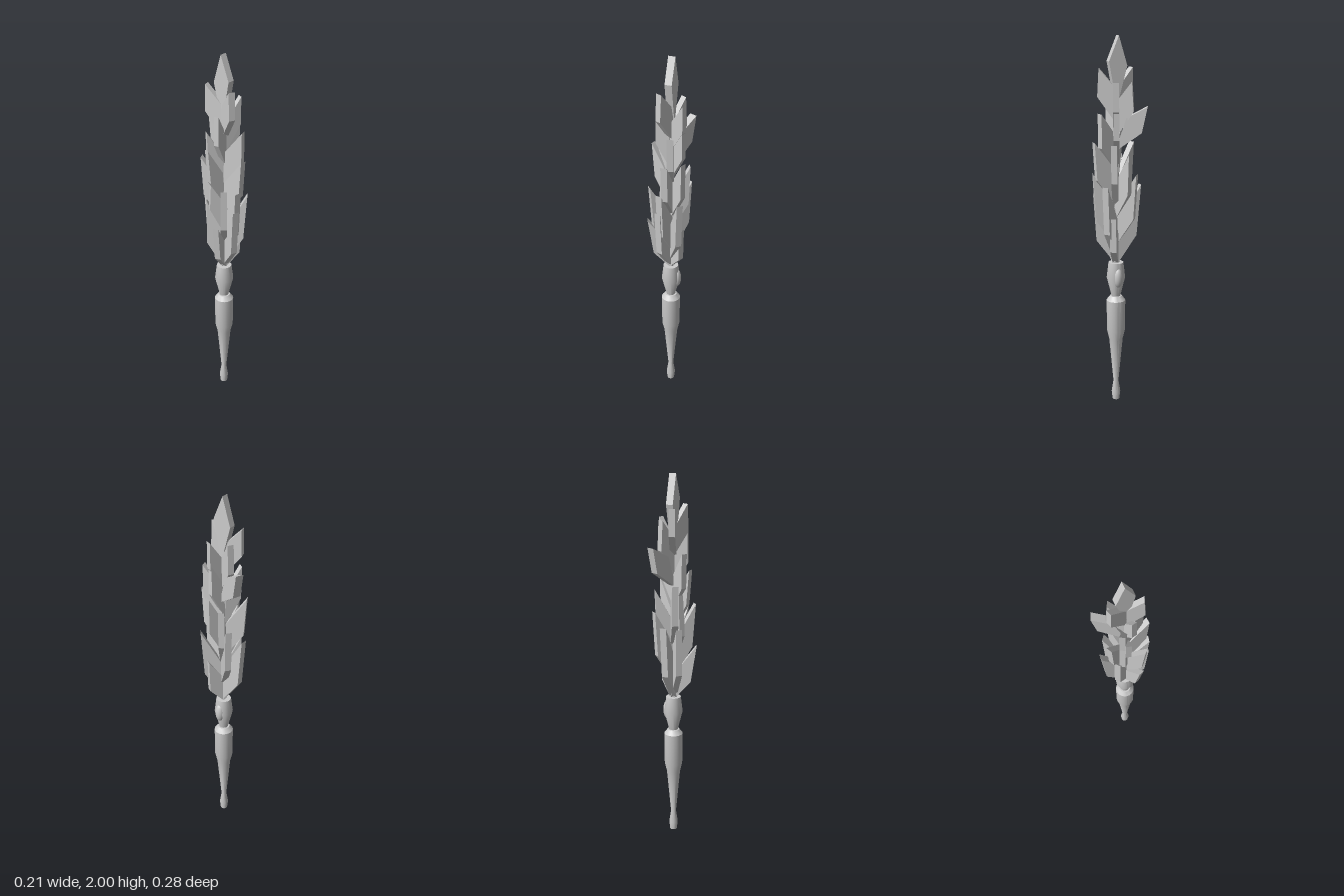
import * as THREE from 'three';
import { toCreasedNormals } from 'three/addons/utils/BufferGeometryUtils.js';

const grey = new THREE.MeshStandardMaterial({ color: 0xcccccc });
const flatGrey = new THREE.MeshStandardMaterial({ color: 0xcccccc, flatShading: true });
const lerp = THREE.MathUtils.lerp;

// Turned part from [radius, height] points
function turned(name, points) {
  const profile = points.map(([r, y]) => new THREE.Vector2(r, y));
  const mesh = new THREE.Mesh(toCreasedNormals(new THREE.LatheGeometry(profile, 18), 0.6), grey);
  mesh.name = name;
  return mesh;
}

// Flat kite-shaped blade in a radial plane, leaning from the axis out to its tip
function blade(name, [x, y, z], height, halfWidth, thickness, waist) {
  const reach = Math.hypot(x, z);
  const out = new THREE.Vector3(x / reach, 0, z / reach);
  const up = new THREE.Vector3(0, 1, 0);
  const length = Math.hypot(reach, height);
  const dx = reach / length, dy = height / length;
  const at = (s, side) => new THREE.Vector2(dx * s * length + dy * side, dy * s * length - dx * side);
  const shape = new THREE.Shape([at(0, 0), at(waist, halfWidth), at(1, 0), at(waist + 0.06, -halfWidth)]);
  const geometry = new THREE.ExtrudeGeometry(shape, { depth: thickness, bevelEnabled: false });
  geometry.translate(0, 0, -thickness / 2);
  geometry.applyMatrix4(new THREE.Matrix4().makeBasis(out, up, out.clone().cross(up)));
  const mesh = new THREE.Mesh(geometry, flatGrey);
  mesh.name = name;
  mesh.position.y = y - height;
  return mesh;
}

// Blade tips from the axis, bottom to top
const bladeTips = [
  [0.075, 1.06, 0.045], [-0.115, 1.09, 0.045], [-0.035, 1.18, 0.115],
  [0.005, 1.22, -0.135], [-0.06, 1.2, -0.07], [0.08, 1.235, 0.09],
  [-0.025, 1.29, 0.12], [0.075, 1.29, -0.09], [-0.09, 1.31, 0.08],
  [-0.06, 1.38, -0.04], [0.085, 1.4, -0.05], [-0.055, 1.44, -0.11],
  [0.08, 1.45, 0.04], [0.005, 1.46, 0.125], [-0.105, 1.515, -0.025],
  [-0.08, 1.6, -0.05], [0.03, 1.61, 0.1], [0.075, 1.64, 0.025],
  [-0.075, 1.7, 0.015], [0.04, 1.77, -0.075], [0.08, 1.77, 0.03],
  [-0.035, 1.835, 0.08], [-0.03, 1.835, -0.095],
];

// Leaning blades, growing shorter and narrower towards the crown
function leaningBlades() {
  const group = new THREE.Group();
  group.name = 'leaningBlades';
  bladeTips.forEach((tip, i) => {
    const t = i / (bladeTips.length - 1);
    const depth = Math.abs(tip[2]) / Math.hypot(tip[0], tip[2]);
    const height = Math.min(tip[1] - 0.79, lerp(0.46, 0.27, t));
    const halfWidth = lerp(0.042, 0.034, t) + 0.018 * depth;
    const thickness = lerp(0.03, 0.027, t) + 0.006 * depth;
    group.add(blade(`leaningBlade${i + 1}`, tip, height, halfWidth, thickness, lerp(0.38, 0.54, t)));
  });
  return group;
}

export function createModel() {
  const model = new THREE.Group();
  model.name = 'bladedTorch';
  const body = new THREE.Group();
  body.name = 'body';
  body.position.set(0.01, 0, 0.015);
  model.add(body);

  // Grip with foot knob and bevelled shoulder
  body.add(turned('handle', [
    [0, 0], [0.019, 0], [0.024, 0.045], [0.014, 0.11],
    [0.037, 0.36], [0.049, 0.41], [0.051, 0.585], [0.032, 0.61], [0, 0.61],
  ]));

  // Collar holding the blades
  body.add(turned('collar', [[0, 0.6], [0.024, 0.61], [0.05, 0.715], [0.04, 0.8], [0, 0.8]]));

  // Oval stud on the model's left side
  const stud = new THREE.Mesh(new THREE.SphereGeometry(1, 18, 12), grey);
  stud.name = 'stud';
  stud.scale.set(0.024, 0.055, 0.025);
  stud.position.set(0.034, 0.72, 0);
  body.add(stud);

  // Leaning blades, the broad swept blade and the upright crown
  body.add(leaningBlades());
  body.add(blade('sweptBlade', [0.066, 1.64, -0.15], 0.23, 0.055, 0.042, 0.55));
  body.add(blade('topBlade', [0, 2, -0.01], 0.36, 0.05, 0.037, 0.58));
  return model;
}
